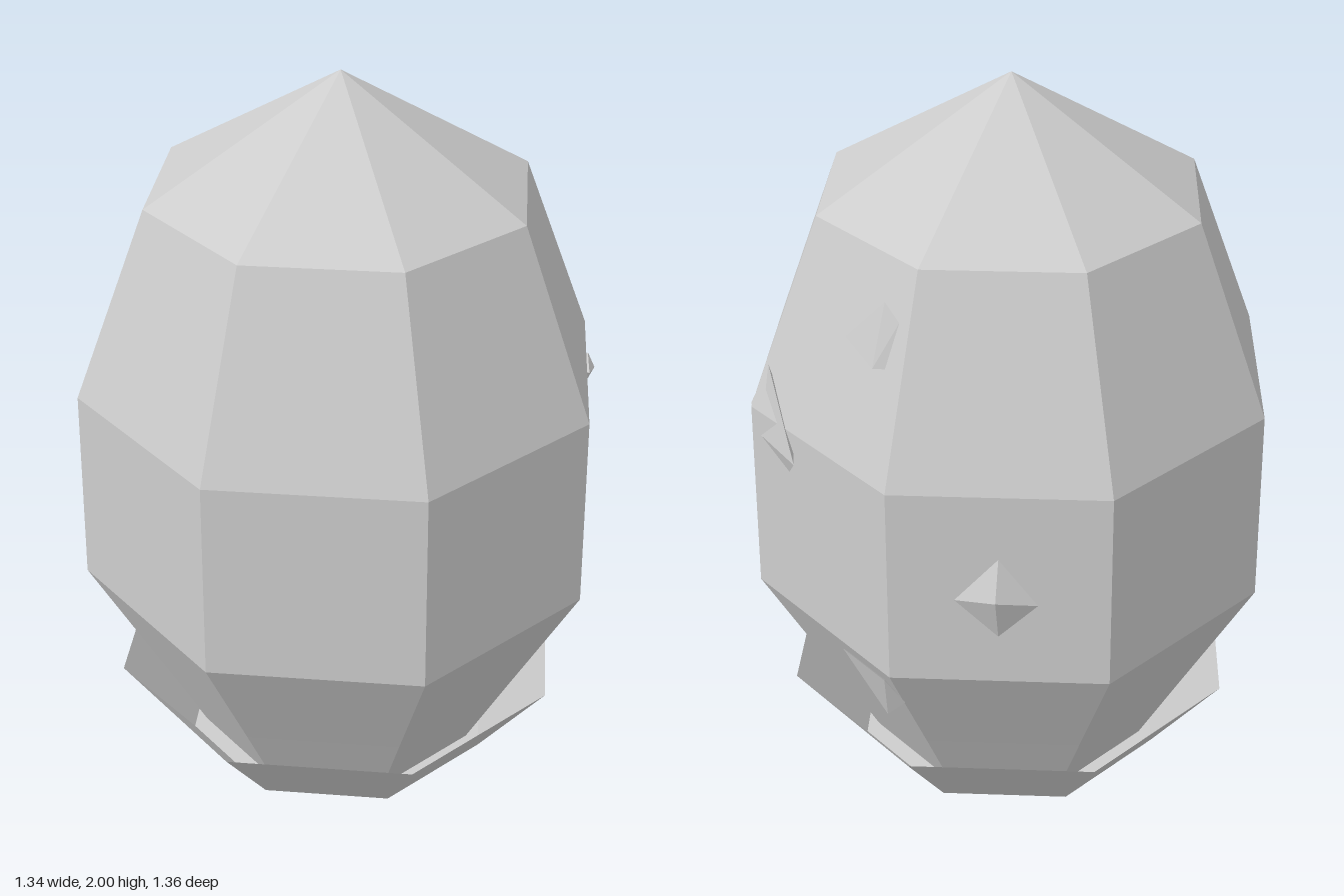
import * as THREE from 'three';
import { ConvexGeometry } from 'three/addons/geometries/ConvexGeometry.js';

const SIDES = 8;

// Octagonal solid from [flat-side distance, height] pairs, with flats facing the axes
function octagon(profile, material, name) {
  const points = profile.map(([r, y]) => new THREE.Vector2(r / Math.cos(Math.PI / SIDES), y));
  const geometry = new THREE.LatheGeometry(points, SIDES, Math.PI / SIDES);
  const mesh = new THREE.Mesh(geometry, material);
  mesh.name = name;
  return mesh;
}

// Angular chip: convex hull of a few corners, the last one buried in the shell
function shard(corners, material, name) {
  const mesh = new THREE.Mesh(
    new ConvexGeometry(corners.map((c) => new THREE.Vector3(...c))), material);
  mesh.name = name;
  return mesh;
}

export function createModel() {
  const group = new THREE.Group();
  group.name = 'eggInCup';

  const stone = new THREE.MeshStandardMaterial({
    color: 0xcccccc, flatShading: true, side: THREE.DoubleSide,
  });
  stone.name = 'pale grey';

  // Faceted egg body with a pointed cap
  const egg = octagon([
    [0, 0.02], [0.385, 0.02], [0.5, 0.27], [0.672, 0.64],
    [0.656, 1.19], [0.47, 1.695], [0, 2],
  ], stone, 'egg');
  egg.position.z = 0.003;
  group.add(egg);

  // Open flared cup with a flat floor
  const cup = octagon([[0, 0], [0.42, 0], [0.602, 0.272]], stone, 'cup');
  cup.position.z = 0.003;
  group.add(cup);

  // Chips standing out of the back of the shell
  const shards = {
    upperShard: [
      [-0.14, 1.61, -0.525], [-0.146, 1.452, -0.576], [-0.027, 1.485, -0.561],
      [-0.185, 1.57, -0.52], [-0.172, 1.455, -0.558], [-0.1, 1.5, -0.5],
    ],
    longShard: [
      [0.23, 1.32, -0.618], [0.06, 1.125, -0.68], [0.136, 1.045, -0.648],
      [0.235, 1.12, -0.655], [0.17, 1.15, -0.6],
    ],
    smallShard: [
      [0.37, 1.165, -0.565], [0.375, 1.08, -0.565], [0.4, 1.12, -0.545],
      [0.338, 1.12, -0.605], [0.385, 1.12, -0.58], [0.35, 1.12, -0.53],
    ],
    pyramidShard: [
      [-0.5, 0.917, -0.507], [-0.397, 0.894, -0.55], [-0.545, 0.885, -0.406],
      [-0.473, 1.019, -0.472], [-0.475, 0.785, -0.475], [-0.43, 0.9, -0.43],
    ],
    lowerShard: [
      [-0.058, 0.59, -0.65], [-0.236, 0.595, -0.654], [-0.257, 0.505, -0.605],
      [-0.186, 0.422, -0.61], [-0.16, 0.52, -0.58],
    ],
  };
  for (const [name, corners] of Object.entries(shards)) group.add(shard(corners, stone, name));

  return group;
}
